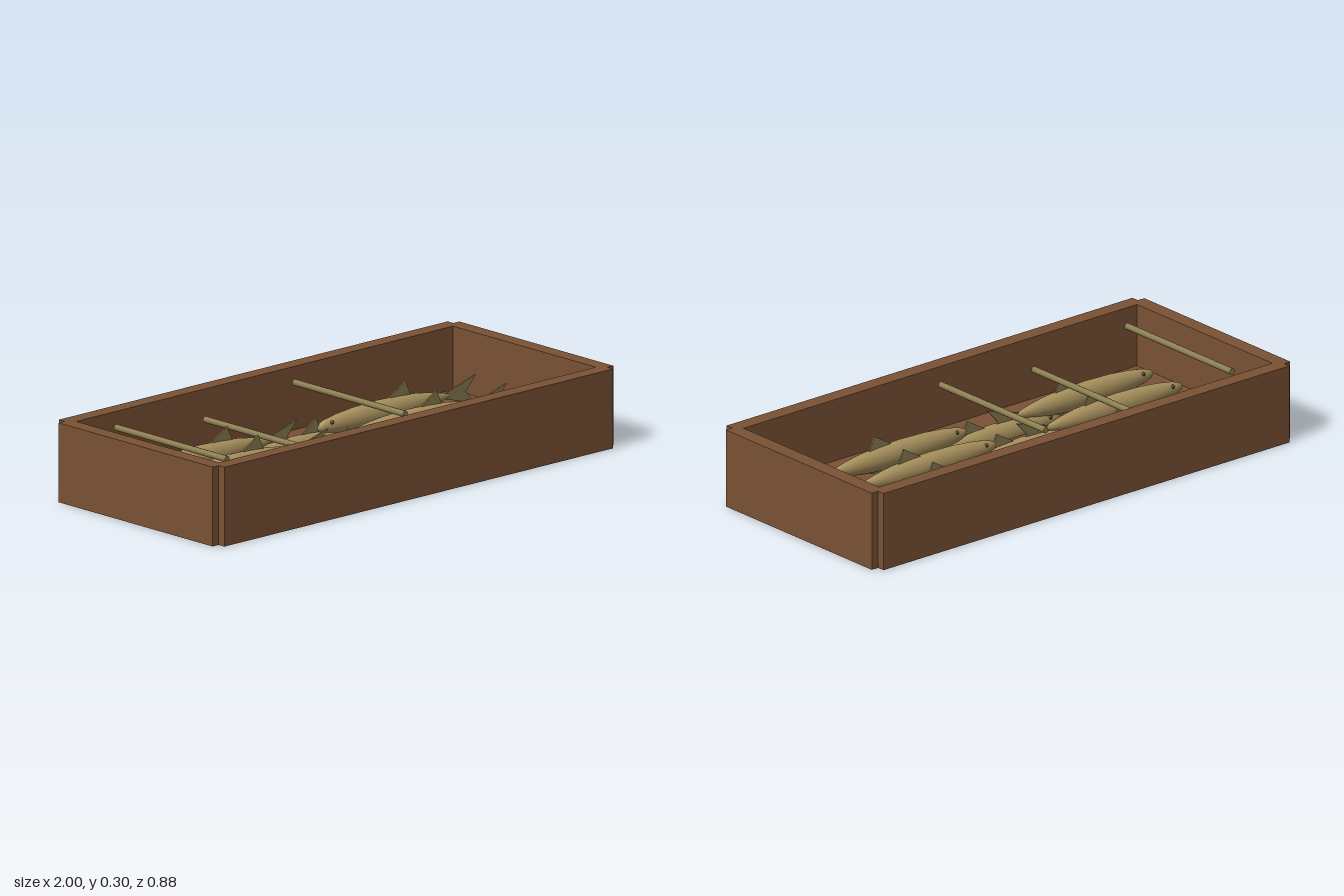
import * as THREE from 'three';

const wood = new THREE.MeshStandardMaterial({ color: 0x7a5235 });
wood.name = 'brown wood';
const skin = new THREE.MeshStandardMaterial({ color: 0xa8915d });
skin.name = 'tan fish skin';
const olive = new THREE.MeshStandardMaterial({ color: 0x8b7d50 });
olive.name = 'olive fin and rod';
const dark = new THREE.MeshStandardMaterial({ color: 0x4a2a1a });
dark.name = 'dark eye';

function add(parent, name, geometry, material, x = 0, y = 0, z = 0) {
  const mesh = new THREE.Mesh(geometry, material);
  mesh.name = name;
  mesh.position.set(x, y, z);
  parent.add(mesh);
  return mesh;
}

// Thin upright plate, centred on z = 0
function plate(points) {
  const shape = new THREE.Shape(points.map(([x, y]) => new THREE.Vector2(x, y)));
  const depth = 0.006;
  return new THREE.ExtrudeGeometry(shape, { depth, bevelEnabled: false }).translate(0, 0, -depth / 2);
}

// Spindle body along +x: [distance from nose, radius]
const profile = [
  [-0.015, 0], [0, 0.012], [0.03, 0.021], [0.09, 0.029], [0.18, 0.036], [0.3, 0.039],
  [0.4, 0.037], [0.49, 0.031], [0.56, 0.022], [0.61, 0.013], [0.65, 0.004], [0.655, 0],
].map(([x, r]) => new THREE.Vector2(r, x));
const bodyGeometry = new THREE.LatheGeometry(profile, 24).rotateZ(-Math.PI / 2).scale(1, 1.25, 1);

const dorsalGeometry = plate([[0.33, 0.035], [0.46, 0.03], [0.43, 0.095]]);
const analGeometry = plate([[0.43, -0.025], [0.41, -0.06], [0.52, -0.02]]);
const tailGeometry = plate([[0.62, 0.008], [0.78, 0.055], [0.73, 0], [0.78, -0.055], [0.62, -0.008]]);
const eyeGeometry = new THREE.SphereGeometry(0.008, 12, 8);

function makeFish() {
  const fish = new THREE.Group();
  fish.name = 'fish';
  add(fish, 'body', bodyGeometry, skin);
  add(fish, 'dorsalFin', dorsalGeometry, olive);
  add(fish, 'analFin', analGeometry, olive);
  add(fish, 'tailFin', tailGeometry, olive);
  for (const side of [-1, 1]) add(fish, 'eye', eyeGeometry, dark, 0.048, 0.016, side * 0.018);
  return fish;
}

export function createModel() {
  const model = new THREE.Group();
  model.name = 'fishCrate';

  // Open crate with stepped corners
  add(model, 'floor', new THREE.BoxGeometry(1.94, 0.06, 0.82), wood, 0, 0.03, 0);
  for (const side of [-1, 1]) {
    add(model, 'longWall', new THREE.BoxGeometry(1.94, 0.3, 0.06), wood, 0, 0.15, side * 0.41);
    add(model, 'endWall', new THREE.BoxGeometry(0.06, 0.3, 0.82), wood, side * 0.97, 0.15, 0);
  }

  // Three overlapping ranks of fish, each with a rod above the heads
  const rodGeometry = new THREE.CylinderGeometry(0.012, 0.012, 0.59, 12).rotateX(Math.PI / 2);
  for (let rank = 0; rank < 3; rank++) {
    const x = -0.82 + rank * 0.445;
    const drop = rank === 1 ? 0.055 : 0;
    add(model, 'rod', rodGeometry, olive, x, 0.272 - drop, 0);
    for (const z of [-0.165, 0, 0.165]) {
      const fish = makeFish();
      fish.position.set(x, 0.125 - drop, z);
      model.add(fish);
    }
  }
  return model;
}
